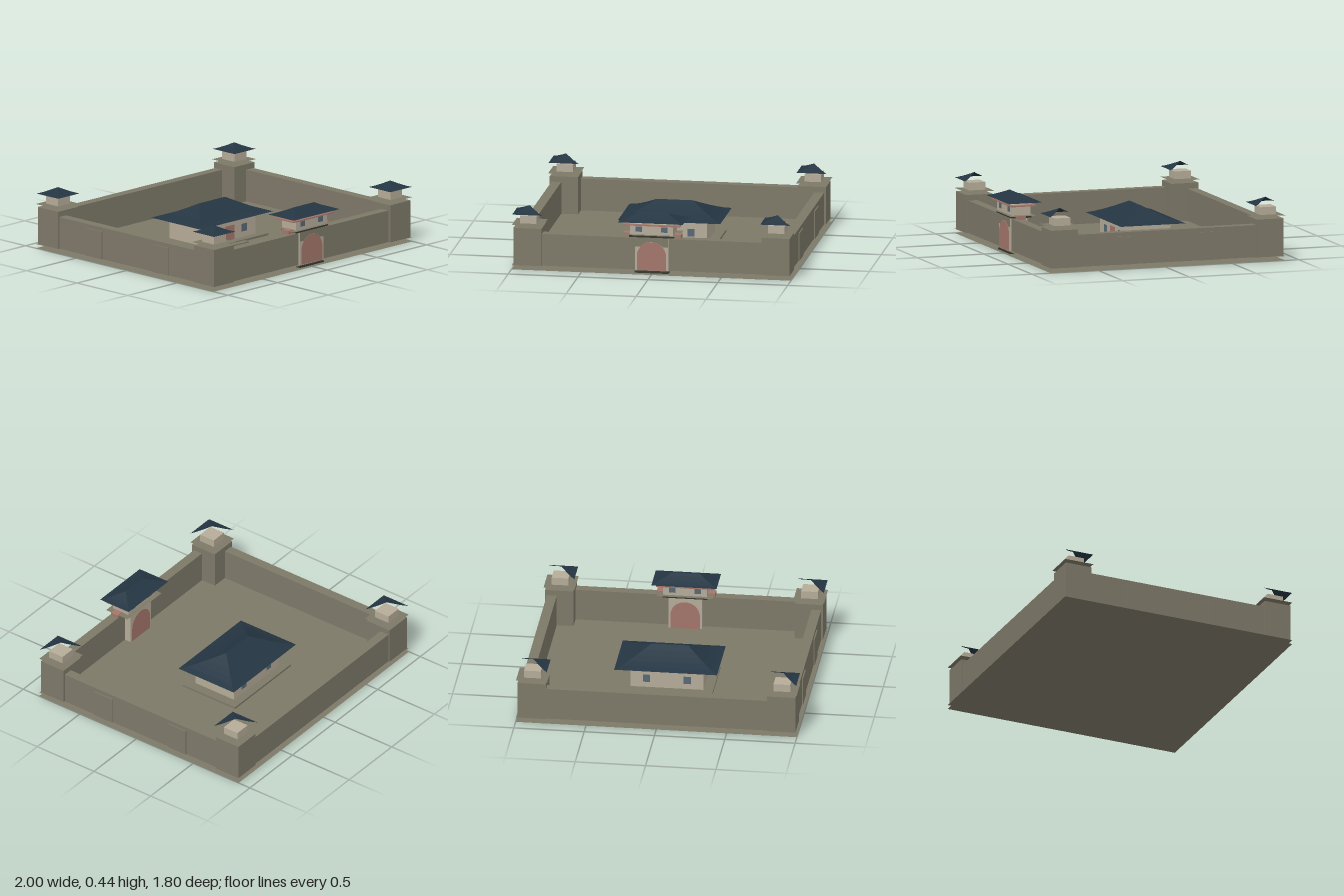
import * as THREE from 'three';

const mat = (name, color, side = THREE.FrontSide) => {
  const m = new THREE.MeshStandardMaterial({ color, side });
  m.name = name;
  return m;
};

export function createModel() {
  const stone = mat('stone', 0x7d7868, THREE.DoubleSide);
  const plaster = mat('plaster', 0xb5ab98);
  const tile = mat('roof tile', 0x243542, THREE.DoubleSide);
  const red = mat('red wood', 0xa3766a, THREE.DoubleSide);
  const glass = mat('window blue', 0x566874);
  const dark = mat('dark timber', 0x34362f);

  const root = new THREE.Group();
  root.name = 'walledCompound';
  const section = (name) => {
    const g = new THREE.Group();
    g.name = name;
    root.add(g);
    return g;
  };
  const add = (parent, name, geo, material) => {
    const m = new THREE.Mesh(geo, material);
    m.name = name;
    parent.add(m);
    return m;
  };
  // Box given by its limits on each axis
  const box = (parent, name, material, [x0, x1], [y0, y1], [z0, z1]) =>
    add(parent, name, new THREE.BoxGeometry(x1 - x0, y1 - y0, z1 - z0), material)
      .position.set((x0 + x1) / 2, (y0 + y1) / 2, (z0 + z1) / 2);
  // Open horizontal sheet
  const sheet = (parent, name, material, [x0, x1], y, [z0, z1]) => {
    const geo = new THREE.PlaneGeometry(x1 - x0, z1 - z0).rotateX(-Math.PI / 2);
    add(parent, name, geo, material).position.set((x0 + x1) / 2, y, (z0 + z1) / 2);
  };

  // Concave hipped roof: rectangles shrink from the eaves to the ridge.
  // Sides are numbered 0 front, 1 right (+x), 2 back, 3 left (-x).
  const hipRoof = (w, d, ridge, height, sides = [0, 1, 2, 3], steps = 5) => {
    const corner = (k, t) => {
      const x = w + (ridge - w) * t, z = d * (1 - t), y = height * Math.pow(t, 1.25);
      const [sx, sz] = [[-1, 1], [1, 1], [1, -1], [-1, -1]][k % 4];
      return [sx * x, y, sz * z];
    };
    const pos = [];
    for (const k of sides) {
      for (let i = 0; i < steps; i++) {
        const a = corner(k, i / steps), b = corner(k + 1, i / steps);
        const c = corner(k + 1, (i + 1) / steps), e = corner(k, (i + 1) / steps);
        pos.push(...a, ...b, ...c, ...a, ...c, ...e);
      }
    }
    const geo = new THREE.BufferGeometry();
    geo.setAttribute('position', new THREE.Float32BufferAttribute(pos, 3));
    geo.computeVertexNormals();
    return geo;
  };

  // Ground sheets
  const ground = section('ground');
  sheet(ground, 'groundBottom', stone, [-0.998, 0.998], 0, [-0.9, 0.86]);
  sheet(ground, 'courtyardFloor', stone, [-0.998, 0.998], 0.03, [-0.9, 0.86]);

  // Enclosing walls, with two shallow buttresses on each side wall
  const walls = section('walls');
  for (const [x0, x1] of [[-0.8, -0.115], [0.115, 0.8]])
    box(walls, 'frontWall', stone, [x0, x1], [0.03, 0.26], [0.765, 0.835]);
  box(walls, 'backWall', stone, [-0.8, 0.8], [0.03, 0.26], [-0.88, -0.81]);
  for (const s of [-1, 1]) {
    const xs = (a, b) => (s > 0 ? [a, b] : [-b, -a]);
    box(walls, 'sideWall', stone, xs(0.905, 0.975), [0.03, 0.26], [-0.7, 0.66]);
    for (const z of [[0.23, 0.39], [-0.42, -0.265]])
      box(walls, 'buttress', stone, xs(0.96, 0.983), [0.03, 0.23], z);
  }

  // Corner towers, each with a half-open roof
  for (const x of [-0.887, 0.887]) {
    for (const z of [-0.79, 0.752]) {
      const tower = section('cornerTower');
      box(tower, 'towerBase', stone, [x - 0.101, x + 0.101], [0.03, 0.3], [z - 0.1, z + 0.1]);
      sheet(tower, 'towerCap', stone, [x - 0.111, x + 0.111], 0.322, [z - 0.11, z + 0.108]);
      box(tower, 'towerRoom', plaster, [x - 0.06, x + 0.06], [0.325, 0.38], [z - 0.06, z + 0.06]);
      add(tower, 'towerRoof', hipRoof(0.108, 0.108, 0, 0.047, [0, 3]), tile).position.set(x, 0.398, z);
    }
  }

  // Gatehouse
  const gate = section('gatehouse');
  box(gate, 'gateBlock', plaster, [-0.12, 0.12], [0.03, 0.268], [0.715, 0.845]);
  const arch = new THREE.Shape();
  arch.moveTo(-0.105, 0.03);
  arch.lineTo(0.105, 0.03);
  arch.lineTo(0.105, 0.13);
  arch.absarc(0, 0.13, 0.105, 0, Math.PI, false);
  for (const z of [0.849, 0.711])
    add(gate, 'archedDoor', new THREE.ShapeGeometry(arch, 20), red).position.z = z;
  const spandrel = new THREE.Shape();
  spandrel.moveTo(-0.118, 0.2);
  spandrel.lineTo(-0.079, 0.2);
  spandrel.absarc(0, 0.13, 0.106, 2.42, 0.72, true);
  spandrel.lineTo(0.118, 0.2);
  spandrel.lineTo(0.118, 0.268);
  spandrel.lineTo(-0.118, 0.268);
  add(gate, 'archSurround', new THREE.ShapeGeometry(spandrel, 20), stone).position.z = 0.848;
  box(gate, 'upperStep', dark, [-0.11, 0.11], [0.02, 0.03], [0.77, 0.84]);
  box(gate, 'lowerStep', dark, [-0.122, 0.122], [0.01, 0.02], [0.77, 0.85]);
  box(gate, 'lintel', dark, [-0.16, 0.16], [0.268, 0.284], [0.7, 0.85]);
  sheet(gate, 'gatePlatform', stone, [-0.2, 0.2], 0.286, [0.68, 0.87]);
  box(gate, 'gateRoom', plaster, [-0.155, 0.155], [0.287, 0.365], [0.708, 0.845]);
  box(gate, 'eaveBeam', red, [-0.205, 0.205], [0.355, 0.364], [0.685, 0.868]);
  add(gate, 'gateRoof', hipRoof(0.232, 0.126, 0.1, 0.052), tile).position.set(0, 0.383, 0.772);
  for (const s of [-1, 1]) {
    const x = s * 0.09;
    for (const z of [0.845, 0.708])
      box(gate, 'gateWindow', glass, [x - 0.023, x + 0.023], [0.308, 0.346], [z - 0.003, z + 0.003]);
    const rx = s * 0.18;
    box(gate, 'railBlock', red, [rx - 0.028, rx + 0.028], [0.264, 0.29], [0.76, 0.82]);
  }

  // Main hall in the courtyard
  const hall = section('mainHall');
  box(hall, 'hallPlatform', stone, [-0.33, 0.33], [0.03, 0.045], [-0.365, 0.095]);
  box(hall, 'hallStep', stone, [-0.09, 0.09], [0.03, 0.038], [0.095, 0.14]);
  box(hall, 'hallBody', plaster, [-0.26, 0.26], [0.045, 0.2], [-0.305, 0.035]);
  box(hall, 'hallDoor', red, [-0.045, 0.045], [0.045, 0.15], [0.033, 0.039]);
  for (const x of [-0.145, 0.145])
    for (const z of [0.035, -0.305])
      box(hall, 'hallWindow', glass, [x - 0.026, x + 0.026], [0.085, 0.14], [z - 0.003, z + 0.003]);
  add(hall, 'hallRoof', hipRoof(0.366, 0.243, 0.13, 0.105), tile).position.set(0, 0.2, -0.137);

  return root;
}
